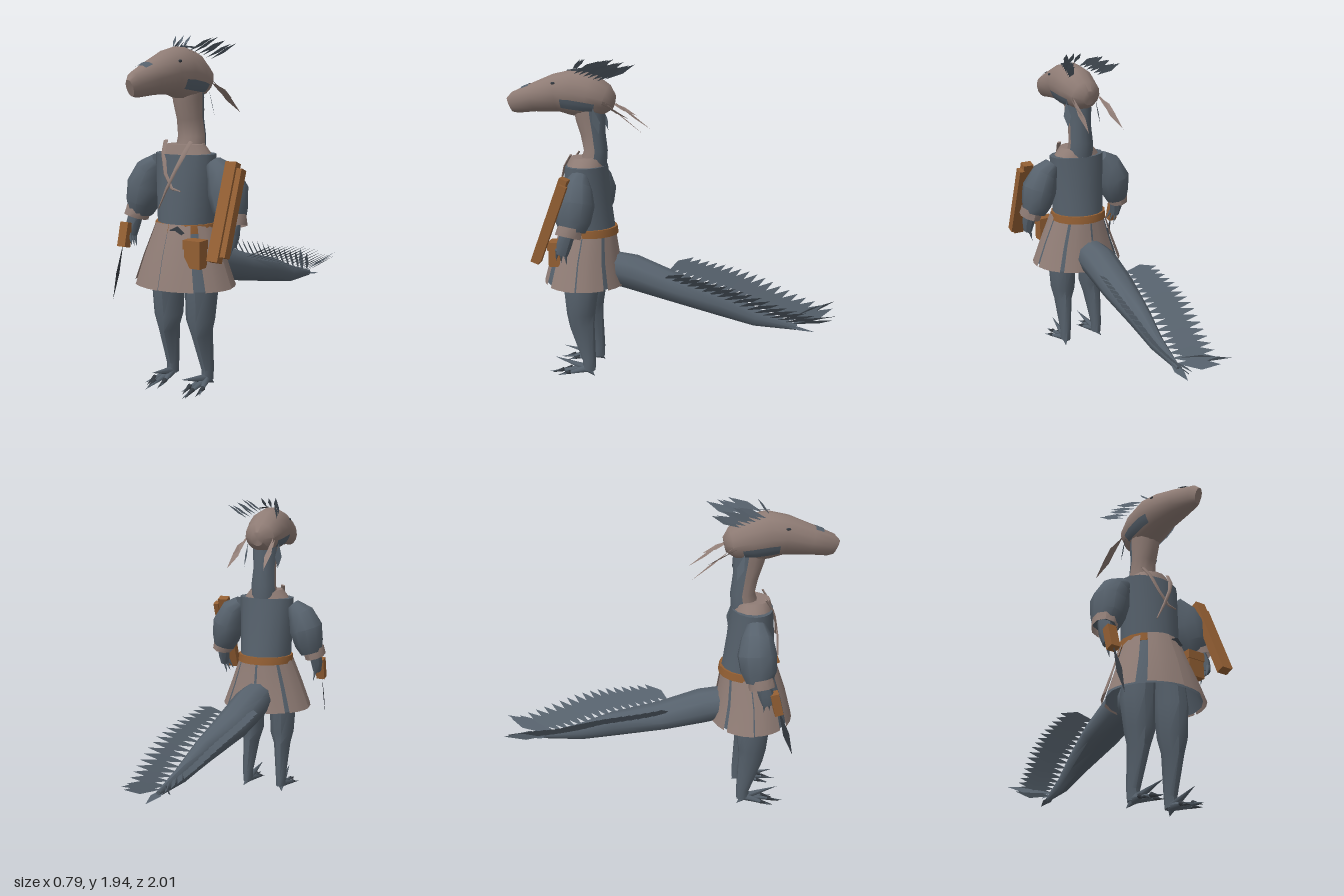
import * as THREE from 'three';
import { toCreasedNormals } from 'three/addons/utils/BufferGeometryUtils.js';

const V = (x, y, z) => new THREE.Vector3(x, y, z);
const rad = THREE.MathUtils.degToRad;

export function createModel() {
  const root = new THREE.Group();
  const material = (name, color) => {
    const m = new THREE.MeshStandardMaterial({ color, side: THREE.DoubleSide });
    m.name = name;
    return m;
  };
  const slate = material('slate', 0x56616c);
  const taupe = material('taupe', 0x8f7c75);
  const leather = material('leather', 0x935f33);
  const dark = material('dark', 0x363c43);

  const add = (name, geo, mat, parent = root) => {
    const mesh = new THREE.Mesh(geo, mat);
    mesh.name = name;
    parent.add(mesh);
    return mesh;
  };

  // Skin over elliptical sections [x, y, z, side radius, front/up radius]
  function loft(name, secs, mat, { from = 0, to = 360, n = 12, grow = 1, caps = true } = {}) {
    const full = to - from === 360;
    const cols = full ? n : n + 1;
    const pos = [], idx = [];
    const c = secs.map(s => V(s[0], s[1], s[2]));
    secs.forEach((s, i) => {
      const T = c[Math.min(i + 1, c.length - 1)].clone().sub(c[Math.max(i - 1, 0)]).normalize();
      const X = V(1, 0, 0).addScaledVector(T, -T.x).normalize();
      const U = X.clone().cross(T);
      for (let j = 0; j < cols; j++) {
        const t = rad(from + (to - from) * j / n);
        const p = c[i].clone().addScaledVector(X, Math.cos(t) * s[3] * grow)
          .addScaledVector(U, Math.sin(t) * s[4] * grow);
        pos.push(p.x, p.y, p.z);
      }
    });
    for (let i = 0; i < secs.length - 1; i++) for (let j = 0; j < n; j++) {
      const k = (j + 1) % cols, a = i * cols, b = a + cols;
      idx.push(a + j, b + j, a + k, a + k, b + j, b + k);
    }
    if (full && caps) {
      const e = (secs.length - 1) * cols, m = pos.length / 3;
      pos.push(...c[0].toArray(), ...c[c.length - 1].toArray());
      for (let j = 0; j < n; j++) {
        const k = (j + 1) % n;
        idx.push(m, j, k, m + 1, e + k, e + j);
      }
    }
    const g = new THREE.BufferGeometry();
    g.setAttribute('position', new THREE.Float32BufferAttribute(pos, 3));
    g.setIndex(idx);
    return add(name, toCreasedNormals(g, 0.75), mat);
  }

  // Flat pointed blade from base to tip
  function feather(name, base, tip, width, mat) {
    const mid = base.clone().lerp(tip, 0.55);
    const g = new THREE.BufferGeometry().setFromPoints([
      base, mid.clone().add(width), tip, base, tip, mid.clone().sub(width)]);
    g.computeVertexNormals();
    return add(name, g, mat);
  }

  // Tapered spike between two points
  function spike(name, a, b, r, mat) {
    const m = add(name, new THREE.ConeGeometry(r, a.distanceTo(b), 6), mat);
    m.position.copy(a).lerp(b, 0.5);
    m.quaternion.setFromUnitVectors(V(0, 1, 0), b.clone().sub(a).normalize());
    return m;
  }

  // Torso, collar and belt
  loft('torso', [[0, .88, .52, .165, .165], [0, 1.1, .53, .172, .145], [0, 1.31, .53, .182, .125]], slate, { n: 16 });
  loft('collar', [[0, 1.30, .53, .155, .12], [0, 1.36, .53, .105, .105]], taupe, { n: 14 });
  loft('belt', [[0, .89, .52, .182, .178], [0, .937, .52, .178, .172]], leather, { n: 18 });
  feather('buckle', V(.01, .91, .703), V(.10, .90, .69), V(0, .03, 0), dark);
  add('pouch', new THREE.BoxGeometry(.1, .14, .07), leather).position.set(.165, .79, .685);
  add('pouchFlap', new THREE.BoxGeometry(.108, .05, .08), leather).position.set(.165, .845, .685);

  // Skirt panels over a plain underskirt
  const skirt = [[0, .59, .55, .295, .25], [0, .75, .545, .235, .21], [0, .92, .525, .172, .168]];
  loft('underskirt', skirt, slate, { n: 18, grow: .94, caps: false });
  [[50, 90], [90, 130], [143, 182], [184, 222], [228, 268], [272, 312], [318, 356], [358, 397]].forEach(
    ([from, to], i) => loft('skirtPanel', skirt, taupe, { from, to, n: 3, grow: i % 2 ? 1.02 : 1 }));

  // Neck: pale throat, darker nape
  const neck = [[0, 1.30, .49, .085, .085], [0, 1.40, .47, .08, .072], [0, 1.5, .485, .073, .076],
    [0, 1.6, .50, .082, .092], [0, 1.70, .51, .085, .09]];
  loft('throat', neck, taupe, { from: -10, to: 190, n: 8 });
  loft('nape', neck, slate, { from: 190, to: 350, n: 6 });

  // Head with long snout
  const head = [[0, 1.665, 1.0, .022, .045], [0, 1.68, .965, .045, .066], [0, 1.71, .85, .08, .085],
    [0, 1.742, .70, .102, .115], [0, 1.745, .60, .12, .138], [0, 1.728, .50, .12, .132],
    [0, 1.70, .40, .098, .092], [0, 1.69, .355, .04, .045]];
  loft('head', head, taupe, { n: 14 });
  for (const s of [1, -1]) {
    const [from, to] = s > 0 ? [-42, -16] : [196, 222];
    loft('cheekStripe', [[0, 1.743, .66, .11, .125], ...head.slice(4, 6), [0, 1.71, .44, .107, .11]], slate,
      { from, to, n: 3, grow: 1.025 });
    const eye = add('eye', new THREE.SphereGeometry(.014, 8, 6), dark);
    eye.position.set(s * .09, 1.80, .70);
    eye.scale.set(.4, .6, 1);
    // Ear wisps
    feather('earWisp', V(s * .09, 1.70, .40), V(s * .12, 1.52, .16), V(s * .02, .01, .01), taupe);
    feather('earWisp', V(s * .095, 1.69, .42), V(s * .115, 1.60, .24), V(s * .015, .01, 0), taupe);
    feather('cheekFeather', V(s * .105, 1.66, .46), V(s * .115, 1.51, .42), V(s * .015, 0, .02), slate);
    // Crest
    for (let i = 0; i < 6; i++) {
      const base = V(s * (.06 + .008 * i), 1.855 - .008 * i, .58 - .03 * i);
      feather('crestFeather', base, base.clone().add(V(s * (.04 + .008 * (i % 3)), .075 + .012 * (i % 2), -.17)),
        V(.012, .014, .006), slate);
    }
  }
  loft('snoutPatch', [[0, 1.698, .90, .068, .079], [0, 1.71, .85, .08, .085]], slate, { from: 58, to: 122, n: 4, grow: 1.03 });
  feather('browMark', V(.04, 1.875, .64), V(.04, 1.88, .49), V(.035, -.008, 0), dark);
  for (const i of [-1, 0, 1])
    feather('topFeather', V(.03 * i, 1.87, .60), V(.05 * i, 1.94, .54), V(.014, 0, .006), slate);

  // Neck ties crossing over the chest
  for (const s of [1, -1]) {
    const path = new THREE.CatmullRomCurve3([V(s * .085, 1.38, .60), V(s * .06, 1.29, .655),
      V(0, 1.15 + s * .01, .685), V(-s * .07, s > 0 ? 1.02 : 1.12, .685)]);
    const tie = loft('neckTie', [0, .25, .5, .75, 1].map((t, i) =>
      [...path.getPoint(t).toArray(), [.014, .016, .011, .009, .002][i], .006]), taupe, { n: 6 });
    tie.position.z = s * .003;
  }

  for (const s of [1, -1]) {
    // Arms
    loft('sleeve', [[s * .31, .96, .54, .07, .075], [s * .292, 1.02, .54, .092, .105], [s * .272, 1.12, .53, .108, .115],
      [s * .235, 1.21, .53, .085, .092], [s * .18, 1.265, .53, .045, .055]], slate, { n: 10 });
    loft('cuff', [[s * .33, .935, .56, .068, .078], [s * .315, .99, .55, .072, .072]], taupe, { n: 9, caps: false });
    loft('forearm', [[s * .332, .83, .60, .026, .036], [s * .332, .89, .585, .038, .045],
      [s * .322, .98, .555, .042, .042]], slate, { n: 8 });
    for (let i = 0; i < 3; i++)
      spike('finger', V(s * .332, .86, .58 + .022 * i), V(s * (.31 - .01 * i), .76 + .01 * i, .58 + .035 * i), .016, slate);

    // Legs
    loft('leg', [[s * .12, .035, .51, .03, .04], [s * .12, .1, .508, .033, .042], [s * .112, .32, .55, .052, .078],
      [s * .108, .40, .557, .078, .088], [s * .113, .58, .55, .085, .11], [s * .1, .74, .55, .08, .11]], slate, { n: 10 });

    // Clawed feet
    [[.07, .012, .70], [.125, .008, .77], [.185, .012, .69], [.10, .10, .735], [.14, .005, .47]].forEach(([x, y, z]) =>
      spike('toe', V(s * .12, .045, .52), V(s * x, y, z), .026, slate));
    [[.085, .03, .66], [.13, .03, .70], [.165, .03, .65]].forEach(([x, y, z]) =>
      spike('claw', V(s * x, y, z - .03), V(s * x, 0.004, z + .05), .014, dark));
  }

  // Dagger in the right hand
  const grip = add('daggerGrip', new THREE.BoxGeometry(.055, .14, .05), leather);
  grip.position.set(-.342, .84, .645);
  grip.rotation.x = -.25;
  feather('daggerBlade', V(-.344, .80, .66), V(-.344, .49, .76), V(.004, .005, .018), dark);

  // Bundled boards in the left hand
  const boards = new THREE.Group();
  boards.name = 'boards';
  boards.position.set(.33, 1.03, .665);
  boards.rotation.x = -.36;
  root.add(boards);
  add('largeBoard', new THREE.BoxGeometry(.066, .53, .05), leather, boards);
  add('smallBoard', new THREE.BoxGeometry(.032, .47, .05), leather, boards).position.set(.048, 0, -.015);

  // Tail
  const tail = [[0, .68, .42, .10, .10], [0, .65, .25, .115, .108], [.02, .575, 0, .108, .09], [.06, .50, -.3, .066, .08],
    [.09, .43, -.52, .038, .055], [.115, .39, -.76, .01, .018]];
  loft('tail', tail, slate, { n: 10 });

  // Feathered vanes rising in a V from the tail
  const spine = new THREE.CatmullRomCurve3(tail.slice(1).map(s => V(s[0], s[1], s[2])));
  const count = 18;
  for (const s of [1, -1]) for (let i = 0; i < count; i++) {
    const u = i / (count - 1);
    const base = spine.getPointAt(.2 + .77 * u);
    base.x += s * .06 * (1 - u);
    base.y += .035 * (1 - u) + .01;
    const out = (s > 0 ? .12 + .06 * Math.sin(u * Math.PI) : .15 + .05 * Math.sin(u * Math.PI)) - .03 * u;
    const tip = base.clone().add(V(s * out, .07 + .03 * Math.sin(u * Math.PI), -.15 - .09 * u));
    feather(s > 0 ? 'leftTailFeather' : 'rightTailFeather', base, tip,
      s > 0 ? V(.014, .01, .034) : V(-.004, .024, .022), slate);
  }
  feather('tailTipFeather', V(.11, .40, -.66), V(.13, .37, -.87), V(.03, 0, 0), slate);
  feather('tailTipFeather', V(.11, .41, -.68), V(.2, .50, -.99), V(.03, .015, .01), slate);
  feather('tailTipFeather', V(.10, .41, -.68), V(-.07, .50, -.98), V(.02, .02, .01), slate);
  return root;
}
